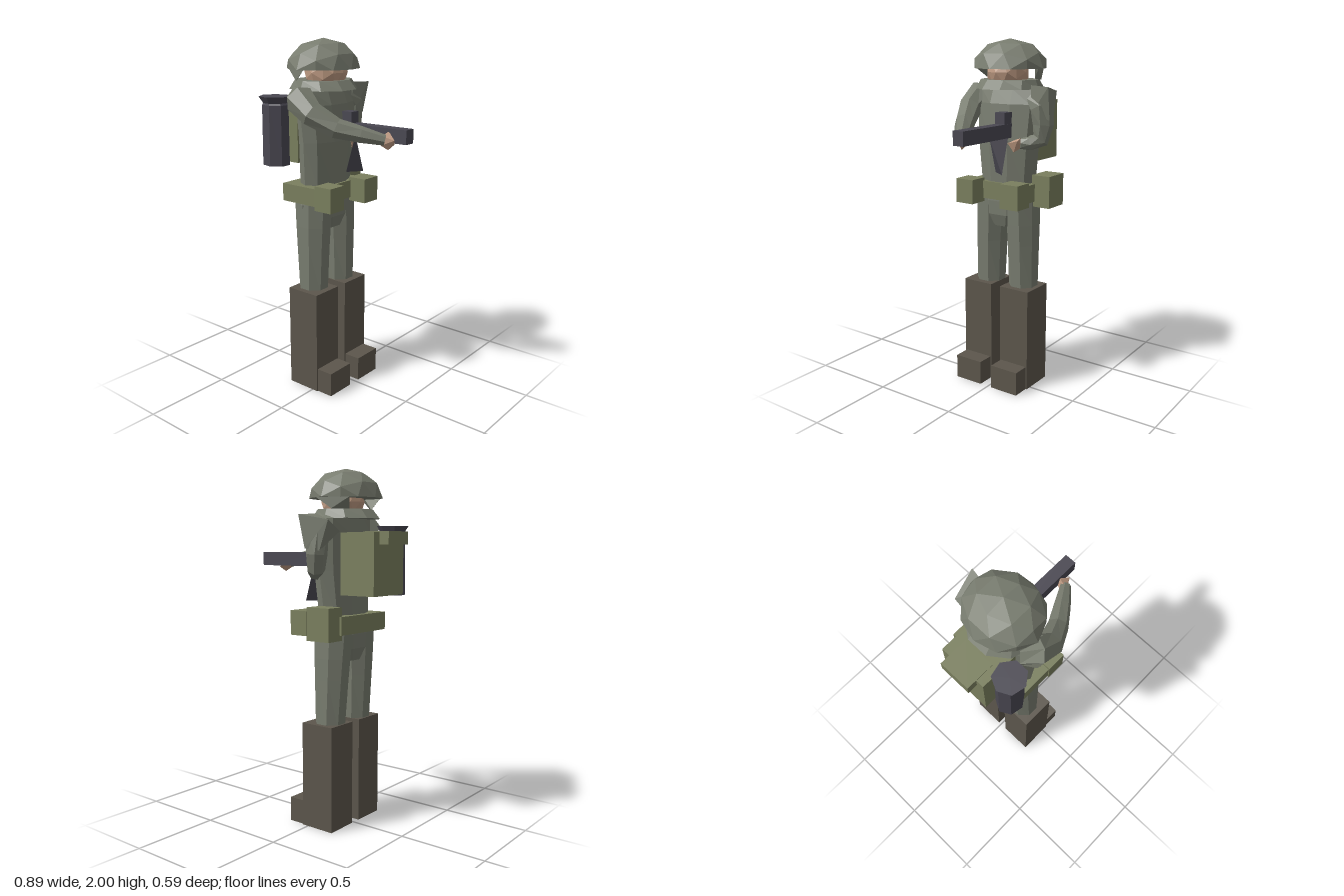
import * as THREE from 'three';
import { ConvexGeometry } from 'three/addons/geometries/ConvexGeometry.js';

const paint = (color) => new THREE.MeshStandardMaterial({ color, flatShading: true, side: THREE.DoubleSide });
const V = (x, y, z) => new THREE.Vector3(x, y, z);

// skin over a list of rings (arrays of points) with closed ends
function skin(rings) {
  const n = rings[0].length, pos = [], index = [];
  rings.forEach((r) => r.forEach((p) => pos.push(p.x, p.y, p.z)));
  for (const end of [rings[0], rings[rings.length - 1]]) {
    const c = end.reduce((s, p) => s.add(p), V(0, 0, 0)).divideScalar(n);
    pos.push(c.x, c.y, c.z);
  }
  const last = (rings.length - 1) * n, c0 = rings.length * n;
  for (let j = 0; j < n; j++) {
    const k = (j + 1) % n;
    for (let i = 0; i < rings.length - 1; i++) {
      const a = i * n + j, b = i * n + k;
      index.push(a, b, a + n, b, b + n, a + n);
    }
    index.push(c0, k, j, c0 + 1, last + j, last + k);
  }
  const g = new THREE.BufferGeometry();
  g.setAttribute('position', new THREE.Float32BufferAttribute(pos, 3));
  g.setIndex(index);
  g.computeVertexNormals();
  return g;
}

// upright form from rows of [y, centre x, centre z, radius x, radius z], bottom to top
function upright(rows, sides) {
  return skin(rows.map(([y, cx, cz, rx, rz]) => Array.from({ length: sides }, (_, j) => {
    const a = -(j + 0.5) / sides * Math.PI * 2;
    return V(cx + Math.cos(a) * rx, y, cz + Math.sin(a) * rz);
  })));
}

// limb following rows of [x, y, z, radius]
function limb(rows, sides = 7) {
  const pts = rows.map((r) => V(r[0], r[1], r[2]));
  return skin(rows.map((r, i) => {
    const dir = pts[Math.min(i + 1, pts.length - 1)].clone().sub(pts[Math.max(i - 1, 0)]).normalize();
    const u = V(0.3, 0.2, 1).cross(dir).normalize(), v = dir.clone().cross(u);
    return Array.from({ length: sides }, (_, j) => {
      const a = j / sides * Math.PI * 2;
      return pts[i].clone().addScaledVector(u, Math.cos(a) * r[3]).addScaledVector(v, Math.sin(a) * r[3]);
    });
  }));
}

// box given by its limits
function block(x0, x1, y0, y1, z0, z1) {
  return new THREE.BoxGeometry(x1 - x0, y1 - y0, z1 - z0)
    .translate((x0 + x1) / 2, (y0 + y1) / 2, (z0 + z1) / 2);
}

export function createModel() {
  const model = new THREE.Group();
  const cloth = paint(0x797d70), gear = paint(0x7a7f5e), boot = paint(0x5c564c);
  const dark = paint(0x4a4852), flesh = paint(0xbe9a82);
  const add = (name, geometry, material) => {
    const mesh = new THREE.Mesh(geometry, material);
    mesh.name = name;
    model.add(mesh);
    return mesh;
  };

  // helmet: faceted dome flattened at the rim
  const dome = new THREE.IcosahedronGeometry(1, 1);
  const p = dome.attributes.position;
  for (let i = 0; i < p.count; i++) p.setY(i, Math.max(p.getY(i), 0));
  dome.scale(0.197, 0.16, 0.217).translate(-0.1, 1.84, 0.007);
  dome.computeVertexNormals();
  add('helmet', dome, cloth);

  // head, ear flaps and collar
  add('head', new THREE.IcosahedronGeometry(1, 1).scale(0.12, 0.11, 0.12).translate(-0.08, 1.82, 0.007), flesh);
  for (const s of [1, -1]) {
    add('earFlap', new ConvexGeometry([
      V(-0.23, 1.84, 0.007 + s * 0.14), V(-0.06, 1.84, 0.007 + s * 0.21), V(-0.14, 1.78, 0.007 + s * 0.18),
      V(-0.12, 1.84, 0.007 + s * 0.15), V(-0.2, 1.78, 0.007 + s * 0.1),
    ]), cloth);
  }
  add('collar', upright([
    [1.73, -0.1, 0.007, 0.195, 0.19], [1.78, -0.1, 0.007, 0.15, 0.17],
  ], 10), cloth);

  // torso and hips
  add('torso', upright([
    [1.1, -0.09, 0.01, 0.115, 0.2],
    [1.2, -0.09, 0.005, 0.108, 0.175],
    [1.45, -0.08, 0, 0.112, 0.2],
    [1.65, -0.09, 0, 0.105, 0.215],
    [1.73, -0.1, 0, 0.085, 0.21],
    [1.77, -0.1, 0.005, 0.06, 0.14],
  ], 10), cloth);
  add('hips', upright([
    [0.95, -0.09, 0.01, 0.085, 0.11],
    [1.02, -0.09, 0.01, 0.11, 0.18],
    [1.12, -0.09, 0.01, 0.115, 0.2],
  ], 10), cloth);

  // legs and boots
  for (const s of [1, -1]) {
    add('leg', upright([
      [0.58, -0.08, 0.01 + s * 0.115, 0.085, 0.085],
      [0.85, -0.085, 0.01 + s * 0.11, 0.1, 0.09],
      [0.97, -0.087, 0.01 + s * 0.106, 0.107, 0.095],
      [1.12, -0.09, 0.01 + s * 0.1, 0.115, 0.098],
    ], 8), cloth);
    const z = 0.013 + s * 0.127;
    add('bootShaft', block(-0.17, 0.036, 0, 0.6, z - 0.096, z + 0.096), boot);
    add('bootToe', block(0, 0.135, 0, 0.14, z - 0.088, z + 0.088), boot);
  }

  // belt and pouches
  add('belt', block(-0.225, 0.026, 1.11, 1.21, -0.19, 0.215), gear);
  add('frontPouch', block(0.015, 0.128, 1.09, 1.228, 0.105, 0.22), gear);
  add('frontPouch', block(0.015, 0.128, 1.09, 1.228, -0.2, -0.08), gear);
  add('hipPouch', block(-0.21, -0.06, 1.08, 1.26, -0.285, -0.17), gear);

  // outstretched arm steadying the weapon
  add('supportArm', limb([
    [-0.14, 1.68, 0.15, 0.075], [-0.09, 1.68, 0.205, 0.085], [0, 1.615, 0.215, 0.068],
    [0.12, 1.545, 0.16, 0.056], [0.23, 1.515, 0.09, 0.046], [0.335, 1.488, 0.02, 0.03],
  ]), cloth);
  add('supportHand', new ConvexGeometry([
    V(0.32, 1.51, 0.03), V(0.32, 1.46, 0.035), V(0.33, 1.53, -0.02), V(0.385, 1.49, 0.005),
    V(0.345, 1.435, 0.005), V(0.31, 1.47, -0.005), V(0.36, 1.46, -0.03), V(0.33, 1.48, -0.04),
  ]), flesh);

  // bent arm at the trigger, with its angular shoulder
  add('triggerArm', limb([
    [-0.1, 1.68, -0.16, 0.07], [-0.08, 1.63, -0.215, 0.068], [-0.08, 1.54, -0.225, 0.06],
    [-0.07, 1.46, -0.215, 0.05], [-0.03, 1.44, -0.17, 0.042], [0, 1.44, -0.13, 0.03],
  ]), cloth);
  add('shoulder', new ConvexGeometry([
    V(-0.015, 1.75, -0.295), V(-0.04, 1.755, -0.17), V(-0.18, 1.72, -0.25), V(-0.18, 1.66, -0.15),
    V(-0.05, 1.57, -0.285), V(-0.13, 1.56, -0.26), V(-0.03, 1.6, -0.18),
  ]), cloth);
  add('triggerHand', new ConvexGeometry([
    V(0, 1.46, -0.1), V(-0.01, 1.42, -0.14), V(0.03, 1.455, -0.13),
    V(0.035, 1.44, -0.07), V(0.02, 1.39, -0.1), V(0.01, 1.47, -0.14),
  ]), flesh);

  // weapon with sight and twisted magazine
  add('weaponBody', block(0, 0.444, 1.47, 1.547, -0.082, -0.016), dark);
  add('weaponSight', block(-0.04, 0.08, 1.54, 1.61, -0.08, -0.018), dark);
  add('magazine', new ConvexGeometry([
    V(0.055, 1.47, -0.086), V(0.112, 1.47, -0.004), V(0.055, 1.275, -0.004), V(0.112, 1.275, -0.086),
  ]), dark);

  // backpack and its flap
  add('backpack', block(-0.388, -0.17, 1.32, 1.655, -0.13, 0.147), gear);
  add('backpackFlap', block(-0.445, -0.28, 1.592, 1.66, -0.081, 0.101), gear);

  // canister with a flared lid
  add('canister', upright([
    [1.31, -0.275, 0.21, 0.08, 0.072],
    [1.645, -0.275, 0.21, 0.078, 0.07],
    [1.655, -0.275, 0.21, 0.07, 0.065],
    [1.692, -0.275, 0.213, 0.092, 0.088],
  ], 7), dark);

  return model;
}
